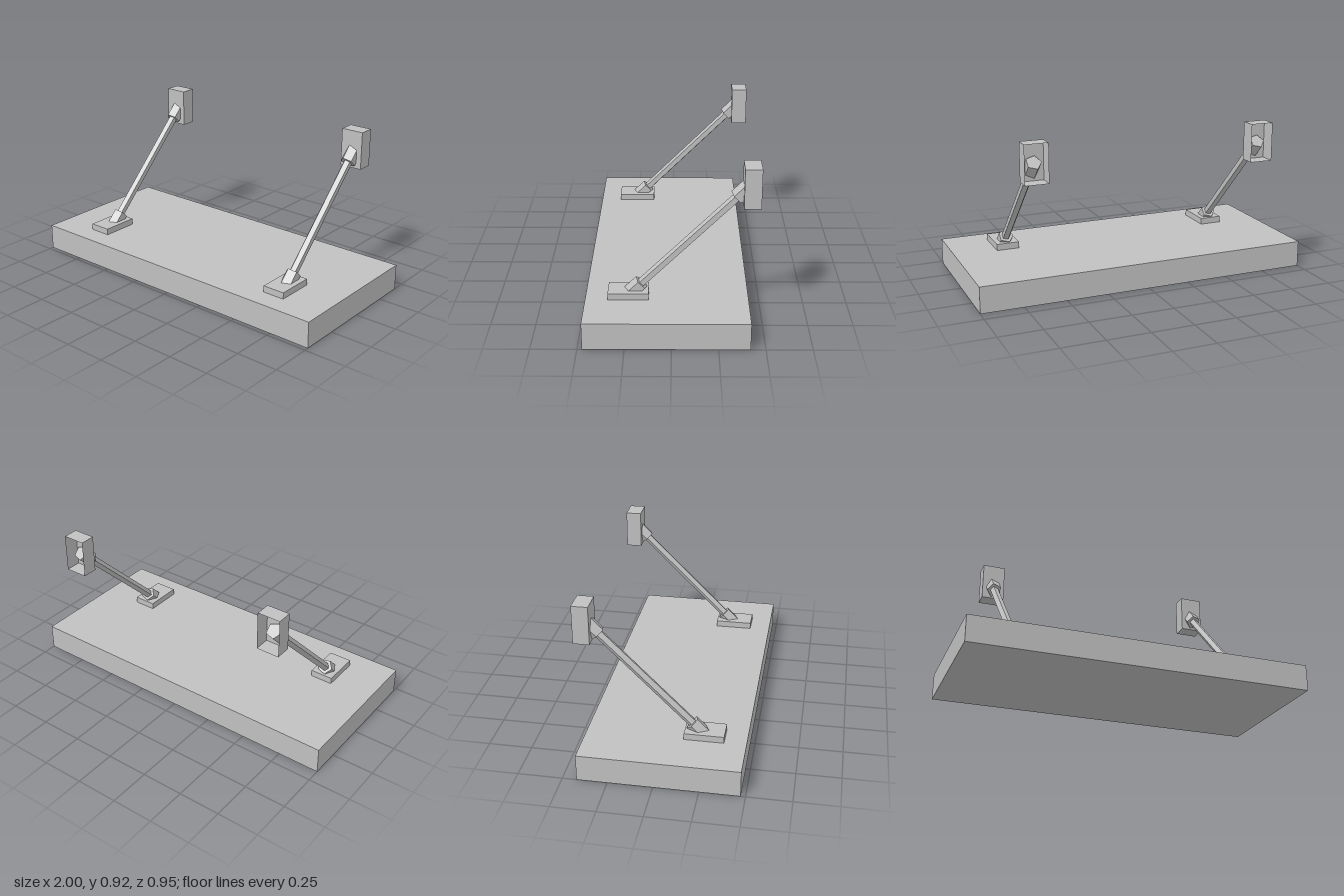
import * as THREE from 'three';

const grey = new THREE.MeshStandardMaterial({ color: 0xc0c0c0, flatShading: true, side: THREE.DoubleSide });
grey.name = 'plain grey';

function addMesh(parent, name, geometry, x, y, z) {
  const mesh = new THREE.Mesh(geometry, grey);
  mesh.name = name;
  mesh.position.set(x, y, z);
  parent.add(mesh);
  return mesh;
}

// Five-sided rod leaning back at 45 degrees; its axis lies on y + z = 0.393.
// from and to are heights along that axis.
function addRod(parent, name, radius, from, to) {
  const length = (to - from) * Math.SQRT2;
  const geometry = new THREE.CylinderGeometry(radius, radius, length, 5, 1, false, -Math.PI / 2);
  const y = (from + to) / 2;
  const rod = addMesh(parent, name, geometry, 0, y, 0.393 - y);
  rod.rotation.x = -Math.PI / 4;
}

// Box shell without its back face
function openBackBox(w, h, d) {
  const box = new THREE.BoxGeometry(w, h, d);
  box.setIndex(Array.from(box.index.array).slice(0, 30));
  box.clearGroups();
  return box;
}

function makeSupport(name, x) {
  const support = new THREE.Group();
  support.name = name;
  support.position.x = x;
  addMesh(support, 'footPlate', new THREE.BoxGeometry(0.135, 0.038, 0.223), 0, 0.174, 0.2385);
  addMesh(support, 'wallBracket', openBackBox(0.135, 0.223, 0.092), 0, 0.8115, -0.426);
  addRod(support, 'lowerSocket', 0.045, 0.156, 0.2275);
  addRod(support, 'upperSocket', 0.045, 0.739, 0.81);
  addRod(support, 'strut', 0.0255, 0.2, 0.77);
  return support;
}

export function createModel() {
  const model = new THREE.Group();
  model.name = 'bracedShelf';
  addMesh(model, 'slab', new THREE.BoxGeometry(2, 0.155, 0.894), 0, 0.0775, 0.027);
  model.add(makeSupport('rightSupport', -0.6825), makeSupport('leftSupport', 0.6775));
  return model;
}
